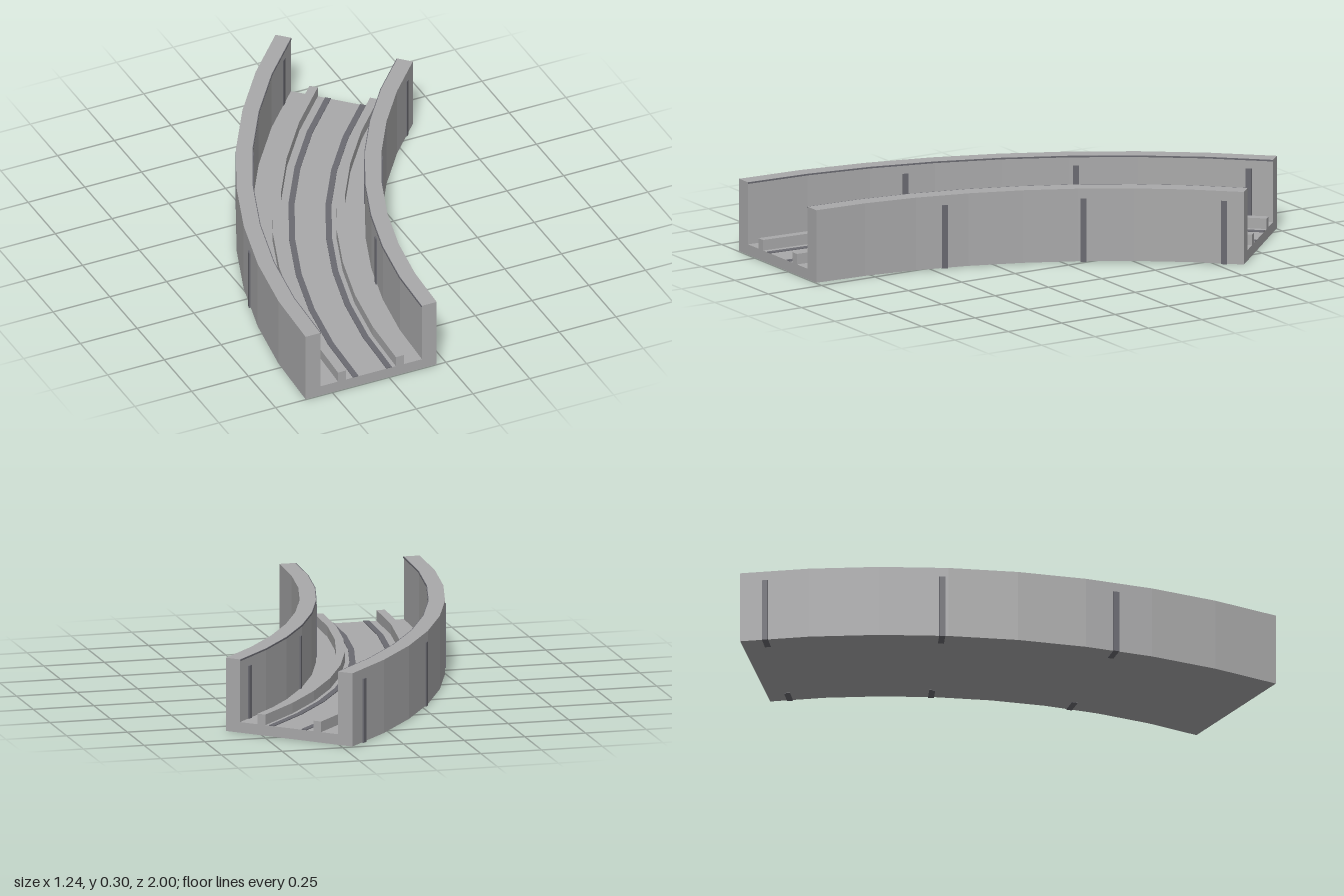
import * as THREE from 'three';

const CENTRE_X = 2.21, START_Z = 1;   // centre of the bend
const SWEEP = Math.PI / 4, STEPS = 8;
const R_IN = 2.25, R_OUT = 2.828;     // outside faces of the two walls
const WALL = 0.065, TOP = 0.3, FLOOR = 0.045, BASE = 0.002;

// Extrude a (radius, height) profile, then bend it round the arc
function sweep(points) {
  const shape = new THREE.Shape(points.map(([r, y]) => new THREE.Vector2(r, y)));
  const geo = new THREE.ExtrudeGeometry(shape, { depth: 1, steps: STEPS, bevelEnabled: false });
  const p = geo.attributes.position;
  for (let i = 0; i < p.count; i++) {
    const r = p.getX(i), a = p.getZ(i) * SWEEP;
    p.setXYZ(i, CENTRE_X - r * Math.cos(a), p.getY(i), START_Z - r * Math.sin(a));
  }
  geo.computeVertexNormals();
  return geo;
}

const strip = (r0, r1, y0, y1) => sweep([[r0, y0], [r1, y0], [r1, y1], [r0, y1]]);

export function createModel() {
  const group = new THREE.Group();
  const body = new THREE.MeshStandardMaterial({ color: 0xa9a9aa });
  body.name = 'light grey';
  const dark = new THREE.MeshStandardMaterial({ color: 0x6a6a71 });
  dark.name = 'dark grey';

  const add = (name, geo, mat) => {
    const mesh = new THREE.Mesh(geo, mat);
    mesh.name = name;
    group.add(mesh);
    return mesh;
  };

  // Channel: floor, two walls and two guide ribs in one section
  const rib = 0.088;
  add('channel', sweep([
    [R_IN, BASE], [R_OUT, BASE], [R_OUT, TOP], [R_OUT - WALL, TOP], [R_OUT - WALL, FLOOR],
    [2.685, FLOOR], [2.685, rib], [2.65, rib], [2.65, FLOOR],
    [2.43, FLOOR], [2.43, rib], [2.395, rib], [2.395, FLOOR],
    [R_IN + WALL, FLOOR], [R_IN + WALL, TOP], [R_IN, TOP],
  ]), body);

  // Painted lines along the floor
  for (const r of [2.46, 2.607]) {
    add('floorLine', strip(r - 0.012, r + 0.012, FLOOR, FLOOR + 0.003), dark);
  }

  // Fine rims along the inside top edge of each wall
  add('innerRim', strip(R_IN + WALL, R_IN + WALL + 0.003, TOP - 0.006, TOP), dark);
  add('outerRim', strip(R_OUT - WALL - 0.003, R_OUT - WALL, TOP - 0.006, TOP), dark);

  // Upright joint bars showing on both faces of the walls
  const barGeo = new THREE.BoxGeometry(WALL + 0.009, 0.26, 0.024);
  for (const a of [0.25, 0.5, 0.75]) {
    for (const r of [R_IN + WALL / 2 - 0.001, R_OUT - WALL / 2 - 0.001]) {
      const bar = add('wallJoint', barGeo, dark);
      bar.position.set(CENTRE_X - r * Math.cos(a), 0.13, START_Z - r * Math.sin(a));
      bar.rotation.y = -a;
    }
  }
  return group;
}
